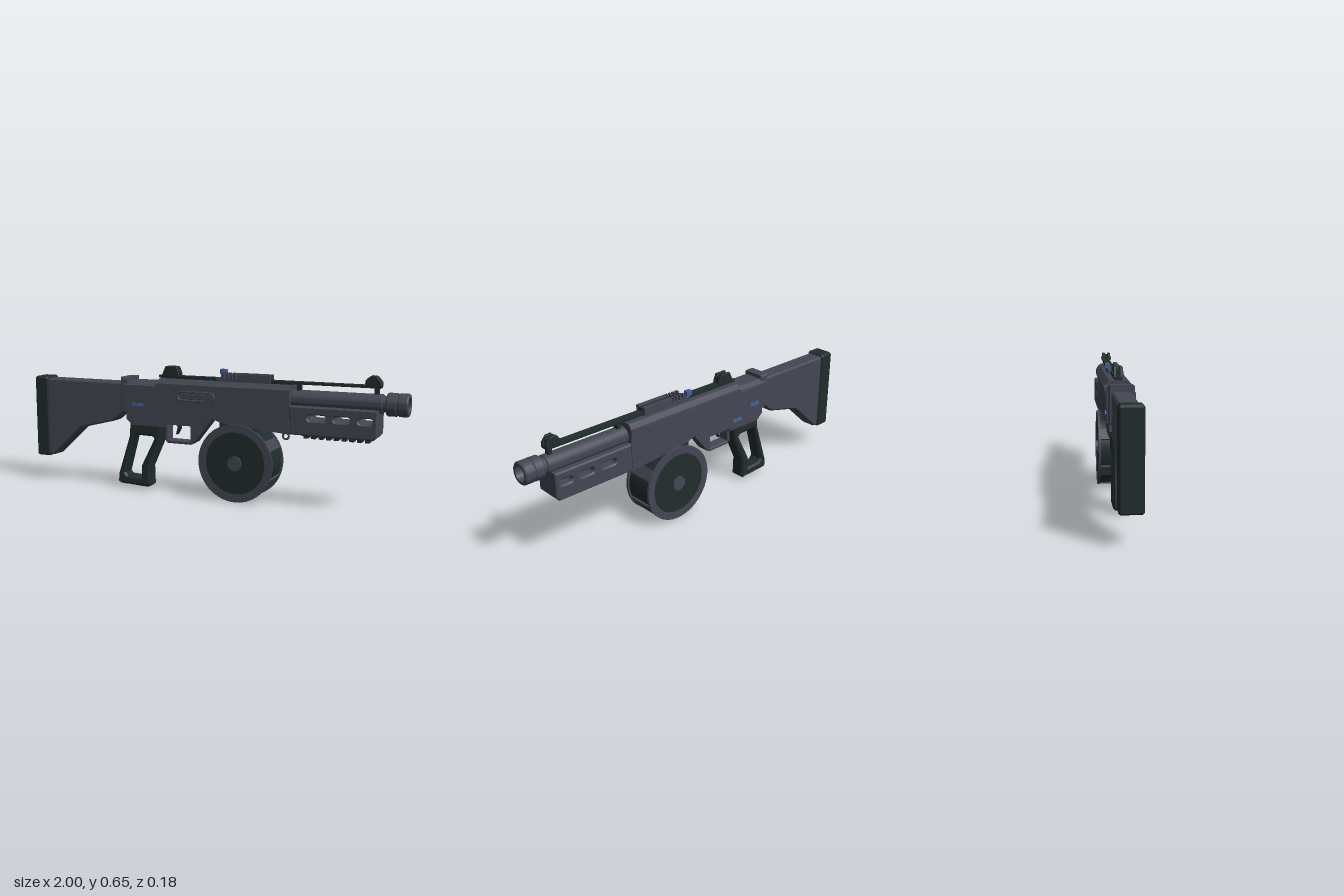
import * as THREE from 'three';
import { toCreasedNormals } from 'three/addons/utils/BufferGeometryUtils.js';

const mat = (name, color) => Object.assign(new THREE.MeshStandardMaterial({ color }), { name });

export function createModel() {
  const root = new THREE.Group();
  root.name = 'shotgun';
  const grey = mat('gunmetal grey', 0x444753);
  const dark = mat('dark green polymer', 0x202d2c);
  const blue = mat('blue control', 0x43619f);

  const add = (name, geo, material, x = 0, y = 0, z = 0, parent = root) => {
    const mesh = new THREE.Mesh(toCreasedNormals(geo, 0.5), material);
    mesh.name = name;
    mesh.position.set(x, y, z);
    parent.add(mesh);
    return mesh;
  };
  const vecs = (pts) => pts.map(([x, y]) => new THREE.Vector2(x, y));
  // Side outline extruded across z, chamfered inside its own outline
  const plate = (name, pts, half, material, bevel = 0, holes = [], z = 0) => {
    const shape = new THREE.Shape(vecs(pts));
    holes.forEach((h) => shape.holes.push(new THREE.Path(vecs(h))));
    const geo = new THREE.ExtrudeGeometry(shape, {
      depth: 2 * (half - bevel), bevelEnabled: bevel > 0, bevelSize: bevel,
      bevelThickness: bevel, bevelOffset: -bevel, bevelSegments: 1,
    });
    return add(name, geo.translate(0, 0, bevel - half), material, 0, 0, z);
  };
  // Cross-section in (z, y) extruded along x
  const bar = (name, pts, x0, x1, material) => {
    const geo = new THREE.ExtrudeGeometry(new THREE.Shape(vecs(pts)), { depth: x1 - x0, bevelEnabled: false });
    return add(name, geo.rotateY(Math.PI / 2), material, x0);
  };
  const box = (name, x0, x1, y0, y1, z0, z1, material) =>
    add(name, new THREE.BoxGeometry(x1 - x0, y1 - y0, z1 - z0), material, (x0 + x1) / 2, (y0 + y1) / 2, (z0 + z1) / 2);
  const pin = (name, x, y, r, half, material) =>
    add(name, new THREE.CylinderGeometry(r, r, half * 2, 20).rotateX(Math.PI / 2), material, x, y);
  // Rounded slot outline
  const slot = (x0, x1, y, r) => {
    const pts = [];
    for (let i = 0; i <= 6; i++) pts.push([x1 - r + Math.sin(i * Math.PI / 6) * r, y - Math.cos(i * Math.PI / 6) * r]);
    for (let i = 0; i <= 6; i++) pts.push([x0 + r - Math.sin(i * Math.PI / 6) * r, y + Math.cos(i * Math.PI / 6) * r]);
    return pts;
  };

  // Stock, butt pad and hinge
  plate('stock', [[-0.925, 0.145], [-0.895, 0.145], [-0.72, 0.305], [-0.52, 0.355], [-0.44, 0.42], [-0.44, 0.56], [-0.925, 0.56]],
    0.045, grey, 0.008, [[[-0.91, 0.22], [-0.88, 0.235], [-0.73, 0.4], [-0.74, 0.41], [-0.91, 0.41]]]);
  plate('buttPad', [[-1, 0.145], [-0.99, 0.137], [-0.925, 0.137], [-0.917, 0.145], [-0.917, 0.562], [-0.925, 0.57], [-0.99, 0.57], [-1, 0.56]],
    0.052, dark, 0.008);
  plate('stockHinge', [[-0.465, 0.42], [-0.415, 0.42], [-0.415, 0.59], [-0.465, 0.59]], 0.06, grey, 0.008);
  pin('stockPin', -0.53, 0.47, 0.009, 0.047, grey);

  // Receiver with a chamfered top
  plate('receiver', [[-0.435, 0.41], [0.05, 0.41], [0.1, 0.39], [0.3, 0.37], [0.45, 0.36], [0.45, 0.568], [-0.25, 0.568], [-0.27, 0.552], [-0.45, 0.552], [-0.45, 0.42]],
    0.065, grey);
  bar('receiverTop', [[-0.065, 0.568], [0.065, 0.568], [0.046, 0.59], [-0.046, 0.59]], -0.25, 0.45, grey);
  bar('receiverRearTop', [[-0.065, 0.552], [0.065, 0.552], [0.046, 0.572], [-0.046, 0.572]], -0.45, -0.25, grey);
  plate('lowerReceiver', [[-0.435, 0.412], [-0.435, 0.375], [-0.4, 0.345], [-0.2, 0.345], [-0.2, 0.36], [-0.04, 0.36], [0.06, 0.412]],
    0.055, grey);
  plate('sidePanel', [[-0.4, 0.475], [0.265, 0.475], [0.38, 0.562], [-0.24, 0.562], [-0.26, 0.548], [-0.4, 0.548]], 0.004, grey, 0.001, [], -0.065);
  // Ejection port
  plate('ejectionPortFrame', slot(-0.14, 0.07, 0.512, 0.026), 0.006, grey, 0.002, [slot(-0.128, 0.058, 0.512, 0.017)], 0.068);
  plate('ejectionPortCover', slot(-0.122, 0.052, 0.512, 0.013), 0.004, grey, 0.001, [], 0.066);
  for (const [x, y] of [[-0.38, 0.5], [-0.3, 0.43], [0.38, 0.42]]) pin('receiverPin', x, y, 0.008, 0.067, grey);
  // Selectors
  for (const s of [-1, 1]) {
    plate('selector', [[-0.395, 0.452], [-0.375, 0.444], [-0.33, 0.446], [-0.325, 0.462], [-0.39, 0.462]], 0.004, blue, 0, [], s * 0.067);
  }
  plate('boltRelease', slot(-0.28, -0.215, 0.395, 0.008), 0.005, blue, 0, [], -0.058);

  // Open grip
  const gripPts = [[-0.425, 0.35], [-0.43, 0.28], [-0.497, 0.075], [-0.5, 0.035], [-0.485, 0.025], [-0.325, 0.018], [-0.312, 0.03],
    [-0.315, 0.125], [-0.25, 0.27], [-0.24, 0.355]];
  plate('grip', gripPts, 0.04, dark, 0.01,
    [[[-0.405, 0.275], [-0.395, 0.29], [-0.295, 0.288], [-0.285, 0.275], [-0.36, 0.13], [-0.362, 0.065], [-0.445, 0.07], [-0.457, 0.085]]]);

  // Trigger and guard
  plate('triggerGuard', [[-0.225, 0.37], [-0.225, 0.275], [-0.21, 0.26], [-0.08, 0.26], [-0.055, 0.275], [0.05, 0.41], [-0.1, 0.41]],
    0.03, grey, 0.004, [[[-0.207, 0.362], [-0.207, 0.277], [-0.083, 0.277], [-0.083, 0.362]]]);
  plate('trigger', [[-0.17, 0.37], [-0.162, 0.34], [-0.172, 0.305], [-0.163, 0.305], [-0.147, 0.335], [-0.148, 0.37]], 0.01, dark);

  // Drum magazine
  const drum = new THREE.Group();
  drum.name = 'drumMagazine';
  drum.position.set(0.182, 0.197, 0);
  root.add(drum);
  const disc = (name, r, half, m) =>
    add(name, new THREE.CylinderGeometry(r, r, half * 2, 40).rotateX(Math.PI / 2), m, 0, 0, 0, drum);
  disc('drumBody', 0.184, 0.076, dark);
  disc('drumCap', 0.155, 0.08, dark);
  disc('drumHub', 0.036, 0.09, grey);
  for (const s of [-1, 1]) {
    const rim = new THREE.Shape().absarc(0, 0, 0.194, 0, Math.PI * 2);
    rim.holes.push(new THREE.Path().absarc(0, 0, 0.155, 0, Math.PI * 2));
    const geo = new THREE.ExtrudeGeometry(rim, { depth: 0.011, bevelEnabled: false, curveSegments: 40 });
    add('drumRim', geo, grey, 0, 0, s * 0.0775 - 0.0055, drum);
  }
  for (let i = 0; i < 6; i++) {
    const a = Math.PI / 6 + i * Math.PI / 3;
    const strap = add('drumStrap', new THREE.BoxGeometry(0.014, 0.056, 0.16), grey, Math.cos(a) * 0.184, Math.sin(a) * 0.184, 0, drum);
    strap.rotation.z = a;
  }
  box('magazineWell', 0.09, 0.28, 0.34, 0.4, -0.055, 0.055, dark);

  // Handguard with through slots and a lower rail
  plate('handguard', [[0.45, 0.36], [0.855, 0.36], [0.87, 0.375], [0.87, 0.497], [0.45, 0.497]], 0.068, grey, 0.006,
    [slot(0.54, 0.63, 0.445, 0.014), slot(0.665, 0.745, 0.445, 0.014), slot(0.78, 0.85, 0.445, 0.014)]);
  box('lowerRail', 0.5, 0.84, 0.35, 0.362, -0.02, 0.02, dark);
  for (let i = 0; i < 9; i++) box('lowerRailTooth', 0.51 + i * 0.037, 0.531 + i * 0.037, 0.338, 0.352, -0.022, 0.022, dark);
  add('slingLoop', new THREE.TorusGeometry(0.015, 0.005, 8, 20), grey, 0.415, 0.338, 0);

  // Barrel and muzzle, turned around the bore
  const barrel = [[0.045, 0.44], [0.045, 0.88], [0.038, 0.885], [0.038, 0.9], [0.05, 0.9], [0.054, 0.906], [0.054, 0.945], [0.05, 0.948],
    [0.05, 0.954], [0.054, 0.957], [0.054, 0.994], [0.049, 1], [0.036, 1], [0.034, 0.99], [0.034, 0.9], [0, 0.9]];
  add('barrel', new THREE.LatheGeometry(vecs(barrel), 40).rotateZ(-Math.PI / 2), grey, 0, 0.522, 0);

  // Sighting rib
  box('sightRib', -0.26, 0.87, 0.594, 0.606, -0.02, 0.02, dark);
  box('ribBase', -0.25, 0.45, 0.588, 0.596, -0.016, 0.016, dark);
  for (const x of [0.47, 0.84]) box('ribPost', x, x + 0.02, 0.555, 0.596, -0.012, 0.012, dark);

  // Top cover: solid block, then grip ridges behind it
  for (const s of [-1, 1]) {
    const [z0, z1] = s < 0 ? [-0.031, -0.012] : [0.012, 0.031];
    box('topCover', 0.17, 0.34, 0.588, 0.63, z0, z1, grey);
    box('ridgeBase', 0.06, 0.17, 0.588, 0.606, z0, z1, grey);
    for (let i = 0; i < 4; i++) box('ridge', 0.09 + i * 0.021, 0.102 + i * 0.021, 0.6, 0.63, z0, z1, grey);
  }
  box('coverCentre', 0.09, 0.338, 0.6, 0.622, -0.013, 0.013, dark);
  box('chargingStem', 0.064, 0.084, 0.6, 0.64, -0.03, -0.02, blue);
  box('chargingKnob', 0.058, 0.09, 0.62, 0.645, -0.046, -0.024, blue);

  // Rear and front sights: side ears with a lower core
  const sight = (name, pts, x0, x1) => {
    for (const s of [-1, 1]) plate(name + 'Ear', pts, 0.007, dark, 0.002, [], s * 0.015);
    box(name + 'Core', x0, x1, 0.6, 0.638, -0.012, 0.012, dark);
    pin(name + 'Screw', (x0 + x1) / 2, 0.618, 0.01, 0.028, dark);
  };
  sight('rearSight', [[-0.243, 0.6], [-0.145, 0.6], [-0.15, 0.625], [-0.162, 0.652], [-0.222, 0.652], [-0.236, 0.625]], -0.23, -0.155);
  sight('frontSight', [[0.795, 0.6], [0.872, 0.6], [0.872, 0.622], [0.85, 0.648], [0.822, 0.65], [0.8, 0.63]], 0.805, 0.86);

  return root;
}
